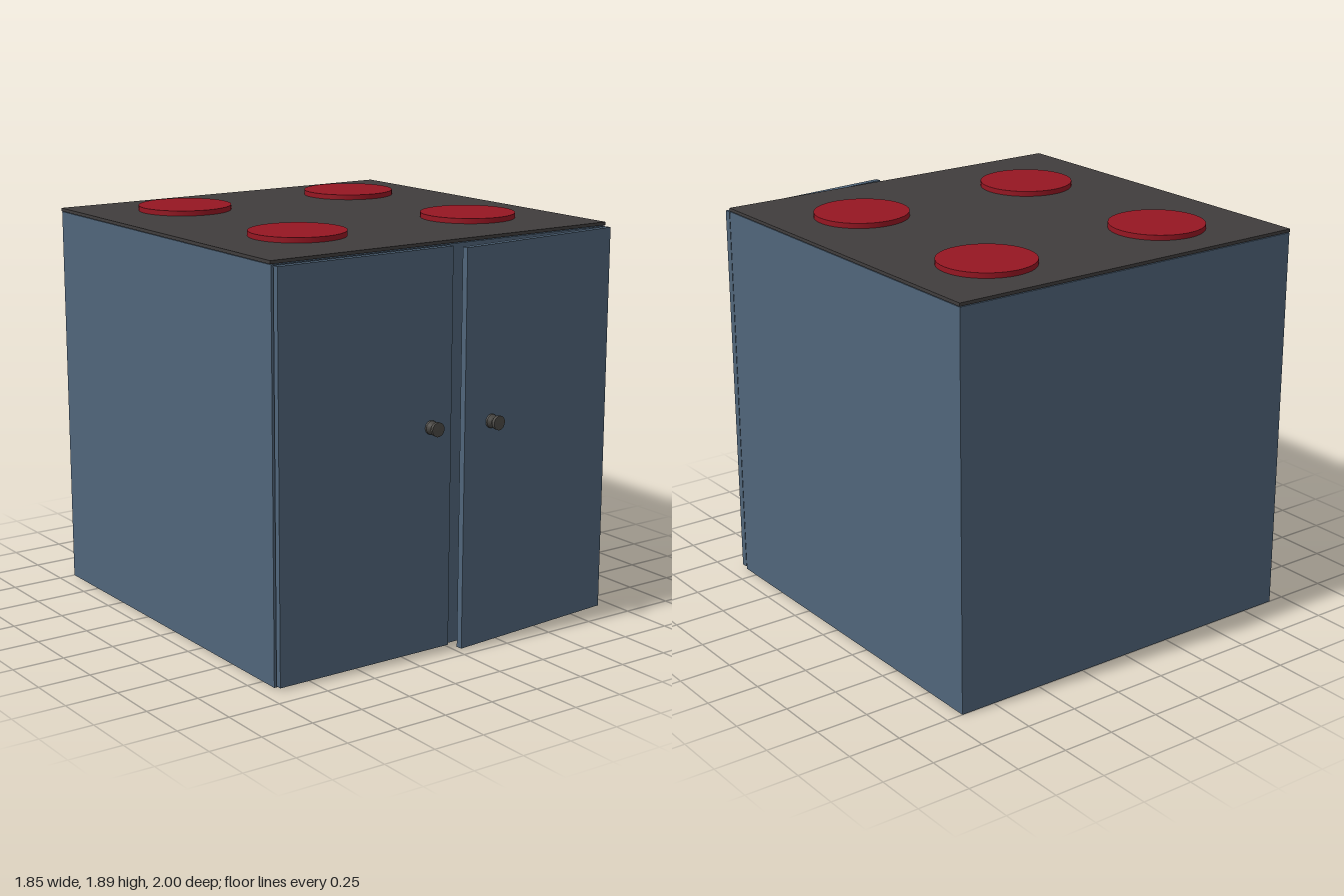
import * as THREE from 'three';

const material = (color) => new THREE.MeshStandardMaterial({ color });

export function createModel() {
  const blue = material(0x50657a);
  const charcoal = material(0x403d3d);
  const red = material(0x961622);
  const metal = material(0x4c4a46);
  const model = new THREE.Group();
  model.name = 'stove';

  function add(parent, name, geometry, mat, x, y, z) {
    const mesh = new THREE.Mesh(geometry, mat);
    mesh.name = name;
    mesh.position.set(x, y, z);
    parent.add(mesh);
    return mesh;
  }

  // Cabinet and cooktop
  add(model, 'cabinet', new THREE.BoxGeometry(1.84, 1.848, 1.84), blue, 0, 0.924, -0.08);
  add(model, 'cooktop', new THREE.BoxGeometry(1.845, 0.015, 1.84), charcoal, -0.0015, 1.8585, -0.08);

  // Four round burners
  const burner = new THREE.CylinderGeometry(0.222, 0.222, 0.024, 48);
  for (const x of [-0.459, 0.501]) {
    for (const z of [-0.617, 0.35]) add(model, 'burner', burner, red, x, 1.878, z);
  }

  // Spool-shaped knob profile, turned to point forward
  const profile = [[0, 0], [0.032, 0], [0.031, 0.008], [0.018, 0.022], [0.018, 0.03],
    [0.032, 0.04], [0.033, 0.055], [0, 0.057]].map(([r, h]) => new THREE.Vector2(r, h));
  // Each profile segment gets its own normals so the rims stay crisp
  const knob = new THREE.LatheGeometry(profile, 24).rotateX(Math.PI / 2).toNonIndexed();
  knob.computeVertexNormals();

  // Door hung from its back hinge corner; side is the direction of the hinge
  function addDoor(name, side, hingeX, hingeZ, width, knobOffset, angle) {
    const door = new THREE.Group();
    door.name = name;
    door.position.set(hingeX, 0, hingeZ);
    door.rotation.y = side * angle;
    add(door, 'doorPanel', new THREE.BoxGeometry(width, 1.836, 0.03), blue, -side * width / 2, 0.928, 0.015);
    add(door, 'doorKnob', knob, metal, -side * knobOffset, 1.05, 0.03);
    model.add(door);
  }
  addDoor('rightDoor', -1, -0.915, 0.85, 0.915, 0.802, 0);
  addDoor('leftDoorAjar', 1, 0.918, 0.847, 0.905, 0.745, 0.085);

  return model;
}
